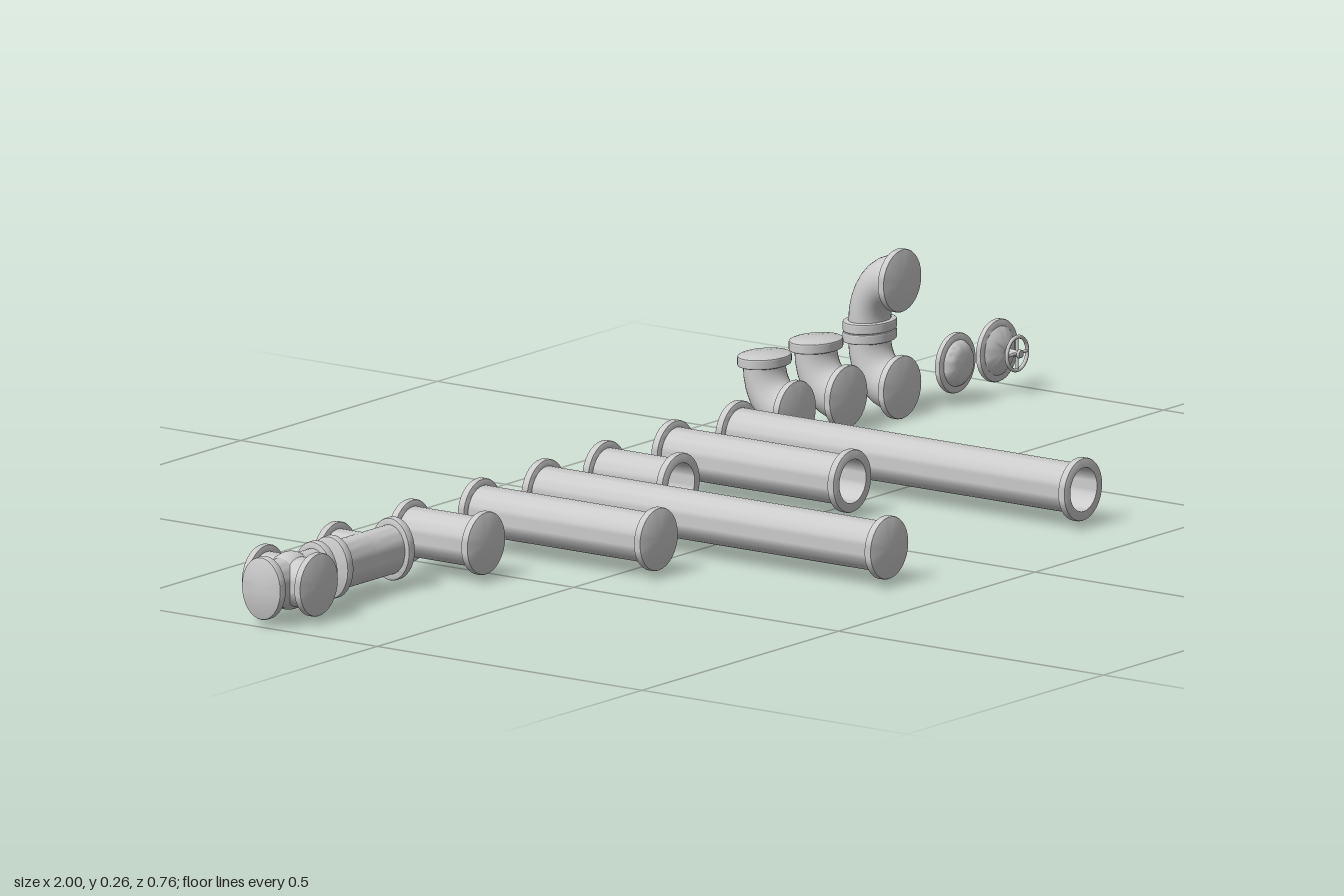
import * as THREE from 'three';
import { toCreasedNormals } from 'three/addons/utils/BufferGeometryUtils.js';

const PIPE_R = 0.0385, FLANGE_R = 0.049, BORE_R = 0.034, SIDES = 32;
const AXIS_Y = 0.0625, BACK_Z = -0.281;
const SQUASH = 0.75; // fittings are flattened front to back

const material = new THREE.MeshStandardMaterial({ color: 0xcccccc });

function part(name, geometry, parent, x = 0, y = 0, z = 0) {
  const mesh = new THREE.Mesh(geometry, material);
  mesh.name = name;
  mesh.position.set(x, y, z);
  parent.add(mesh);
  return mesh;
}

function group(name, parent, x, y, z) {
  const g = new THREE.Group();
  g.name = name;
  g.position.set(x, y, z);
  parent.add(g);
  return g;
}

// Turned part along +z from [radius, z] pairs
function turned(profile) {
  const points = profile.map(([r, z]) => new THREE.Vector2(r, z));
  const g = new THREE.LatheGeometry(points, SIDES).rotateX(Math.PI / 2);
  return toCreasedNormals(g, 0.7);
}

// Rounded flange edge between two depths
const rim = (a, b, r = FLANGE_R) => {
  const c = 0.003;
  return [[r - c, a], [r - c * 0.3, a + c * 0.3], [r, a + c], [r, b - c], [r - c * 0.3, b - c * 0.3], [r - c, b]];
};

// Straight pipe with a flange at both ends, its front open or closed
function straightPipe(length, open) {
  const t = 0.013;
  const front = open ? [[BORE_R, length], [BORE_R, t], [0, t]] : [[0, length]];
  return turned([[0, 0], ...rim(0, t), [PIPE_R, t], [PIPE_R, length - t], ...rim(length - t, length), ...front]);
}

// Arm of a fitting, from its centre out to a closed flange
function arm(length, t, start = 0) {
  return turned([[0, start], [PIPE_R, start], [PIPE_R, length - t], ...rim(length - t, length), [0, length]]);
}

// Quarter bend with one flange facing +z and one facing +y
function elbow(name, parent, x, y) {
  const R = 0.067, reach = 0.083, t = reach - R;
  const g = group(name, parent, x, y, BACK_Z - reach * SQUASH);
  g.scale.z = SQUASH;
  const bend = new THREE.TorusGeometry(R, PIPE_R, SIDES, 8, Math.PI / 2);
  bend.rotateZ(Math.PI).rotateY(-Math.PI / 2).translate(0, R, R);
  part('elbowBend', bend, g);
  const flange = arm(reach, t, R - 0.002);
  part('elbowFrontFlange', flange, g);
  part('elbowTopFlange', flange, g).rotation.x = -Math.PI / 2;
  return g;
}

export function createModel() {
  const model = new THREE.Group();
  model.name = 'pipeKit';

  // Cross fitting
  const cross = group('crossFitting', model, -0.926, AXIS_Y, -0.22);
  cross.scale.z = SQUASH;
  const crossArm = arm(0.074, 0.016);
  for (let i = 0; i < 4; i++) part('crossArm', crossArm, cross).rotation.y = i * Math.PI / 2;
  part('crossHub', new THREE.SphereGeometry(0.045, SIDES, 20), cross);

  // Tee fitting with its branch to the back
  const tee = group('teeFitting', model, -0.738, AXIS_Y, -0.223);
  tee.scale.z = SQUASH;
  for (const s of [-1, 1]) part('teeArm', arm(0.086, 0.016), tee).rotation.y = s * Math.PI / 2;
  part('teeBranch', arm(0.077, 0.016), tee).rotation.y = Math.PI;

  // Straight pipes: three closed, three open at the front
  const lengths = [0.152, 0.346, 0.661];
  [[-0.548, -0.37, -0.208], [-0.053, 0.122, 0.285]].forEach((row, open) => {
    row.forEach((x, i) => {
      part(open ? 'openPipe' : 'closedPipe', straightPipe(lengths[i], open), model, x, AXIS_Y, BACK_Z);
    });
  });

  // Single elbows and the two stacked into a U-bend
  elbow('elbow', model, 0.447, AXIS_Y);
  elbow('elbow', model, 0.578, AXIS_Y);
  elbow('lowerElbow', model, 0.715, 0.052);
  elbow('upperElbow', model, 0.715, 0.218).rotation.z = Math.PI;

  // End cap
  part('endCap', turned([[0, 0], ...rim(0, 0.01, 0.047), [0.036, 0.01], [0.034, 0.014],
    [0.028, 0.02], [0.018, 0.022], [0, 0.023]]), model, 0.842, 0.068, BACK_Z);

  // Valve cap with stem and handwheel
  const valve = group('valveCap', model, 0.948, 0.068, BACK_Z);
  part('valveBase', turned([[0, 0], ...rim(0, 0.01), [0.038, 0.01], [0.03, 0.017],
    [0.014, 0.021], [0.006, 0.024], [0.005, 0.046], [0.007, 0.047], [0.006, 0.051], [0, 0.052]]), valve);
  part('handwheelRim', new THREE.TorusGeometry(0.026, 0.003, 8, SIDES), valve, 0, 0, 0.043);
  for (let i = 0; i < 2; i++) {
    const spoke = new THREE.CylinderGeometry(0.0025, 0.0025, 0.052, 8);
    part('handwheelSpoke', spoke, valve, 0, 0, 0.043).rotation.z = i * Math.PI / 2;
  }
  return model;
}
